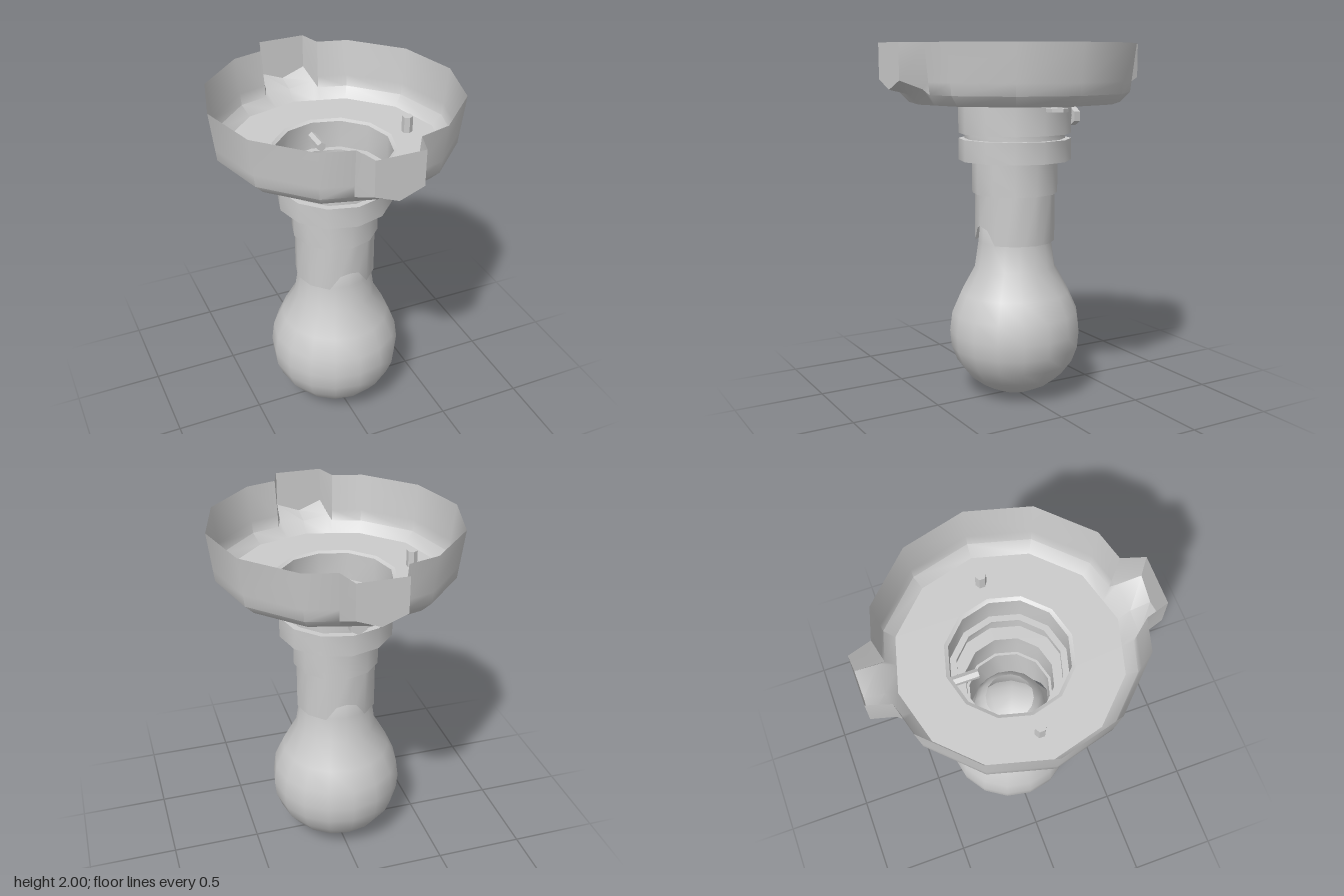
import * as THREE from 'three';
import { toCreasedNormals } from 'three/addons/utils/BufferGeometryUtils.js';

const material = new THREE.MeshStandardMaterial({ color: 0xcccccc, side: THREE.DoubleSide });
const SIDES = 12;

function part(name, geometry, crease = 0.7) {
  const mesh = new THREE.Mesh(toCreasedNormals(geometry, crease), material);
  mesh.name = name;
  return mesh;
}

function lathe(name, points, segments = SIDES, crease = 0.7) {
  return part(name, new THREE.LatheGeometry(points.map(([r, y]) => new THREE.Vector2(r, y)), segments), crease);
}

// Ceiling bowl: a twelve-sided dish whose wall is pulled out into a lug at front and back
function bowlGeometry() {
  const profile = [[0.672, 2], [0.648, 1.8], [0.64, 1.735], [0.585, 1.68], [0.335, 1.68]];
  const at = (deg, r, y) => {
    const a = THREE.MathUtils.degToRad(deg);
    return [r * Math.sin(a), y, r * Math.cos(a)];
  };
  const c15 = Math.cos(Math.PI / 12);
  const regular = (deg, flat = 1) => profile.map(([r, y]) => at(deg, r * flat, y));
  // lug columns: side edge and centre ridge
  const edge = (s) => [[0.13 * s, 2, 0.75], [0.13 * s, 1.81, 0.75], [0.145 * s, 1.765, 0.63],
    [0.12 * s, 1.68, 0.553], [0.07 * s, 1.68, 0.316]];
  const ridge = [[0, 2, 0.75], [0, 1.76, 0.75], [0, 1.735, 0.645], [0, 1.68, 0.585], [0, 1.68, 0.335]];
  const half = [regular(-90), regular(-60), regular(-30), regular(-15, c15), edge(-1), ridge,
    edge(1), regular(15, c15), regular(30), regular(60)];
  const turned = half.map((col) => col.map(([x, y, z]) => [-x, y, -z]));
  const columns = [...half, ...turned];
  const rows = profile.length;
  const index = [];
  columns.forEach((_, i) => {
    const n = (i + 1) % columns.length;
    for (let j = 0; j < rows - 1; j++) {
      const a = i * rows + j, b = n * rows + j;
      index.push(a, a + 1, b, b, a + 1, b + 1);
    }
  });
  const g = new THREE.BufferGeometry();
  g.setAttribute('position', new THREE.Float32BufferAttribute(columns.flat(2), 3));
  g.setIndex(index);
  return g;
}

// Lower sleeve: twelve-sided tube with an arched notch in its rim at front and back
function sleeveGeometry() {
  const g = new THREE.CylinderGeometry(0.225, 0.225, 0.275, 24, 1, true);
  g.translate(0, 1.0375, 0);
  const p = g.attributes.position;
  for (let i = 0; i < p.count; i++) {
    const x = p.getX(i), z = p.getZ(i);
    const step = Math.round(Math.atan2(x, z) / (Math.PI / 12));
    const flat = step % 2 ? Math.cos(Math.PI / 12) : 1;
    p.setX(i, x * flat);
    p.setZ(i, z * flat);
    if (p.getY(i) < 1) {
      const fromNotch = Math.min(Math.abs(step), 12 - Math.abs(step));
      p.setY(i, [1.0, 0.98][fromNotch] ?? 0.9);
    }
  }
  return g;
}

// Hex-headed screw along +y, head at the bottom
function screw(name, headRadius, headHeight, shaftRadius, length) {
  const group = new THREE.Group();
  group.name = name;
  const head = part('screwHead', new THREE.CylinderGeometry(headRadius, headRadius, headHeight, 6), 0.3);
  head.position.y = headHeight / 2;
  const shaft = part('screwShaft', new THREE.CylinderGeometry(shaftRadius, shaftRadius, length, 6), 0.3);
  shaft.position.y = headHeight + length / 2;
  group.add(head, shaft);
  return group;
}

export function createModel() {
  const model = new THREE.Group();
  model.name = 'ceilingLamp';

  model.add(part('ceilingBowl', bowlGeometry()));

  // Stepped socket with a groove between its two collars
  model.add(lathe('socket', [
    [0.225, 1.175], [0.24, 1.175], [0.24, 1.36], [0.315, 1.36], [0.315, 1.48],
    [0.28, 1.48], [0.28, 1.51], [0.315, 1.51], [0.315, 1.67], [0.335, 1.68],
  ]));
  model.add(part('socketSleeve', sleeveGeometry()));

  // Bulb with an open neck inside the sleeve
  model.add(lathe('bulb', [
    [0, 0.005], [0.1, 0.02], [0.2, 0.067], [0.275, 0.125], [0.335, 0.205], [0.367, 0.29],
    [0.375, 0.38], [0.361, 0.49], [0.31, 0.605], [0.23, 0.75], [0.208, 0.9],
    [0.2, 0.98], [0.165, 1.06], [0.135, 1.09],
  ], 16, 1.2));

  // Fixing screws through the bowl floor
  for (const side of [-1, 1]) {
    const s = screw(side > 0 ? 'leftFixingScrew' : 'rightFixingScrew', 0.058, 0.02, 0.03, 0.105);
    s.position.set(side * 0.43, 1.645, 0);
    s.children[0].rotation.y = Math.PI / 6;
    model.add(s);
  }

  // Clamping screw through the back of the upper collar
  const clamp = screw('clampingScrew', 0.053, 0.04, 0.026, 0.2);
  clamp.rotation.x = Math.PI / 2;
  clamp.position.set(0, 1.59, -0.41);
  model.add(clamp);

  return model;
}
